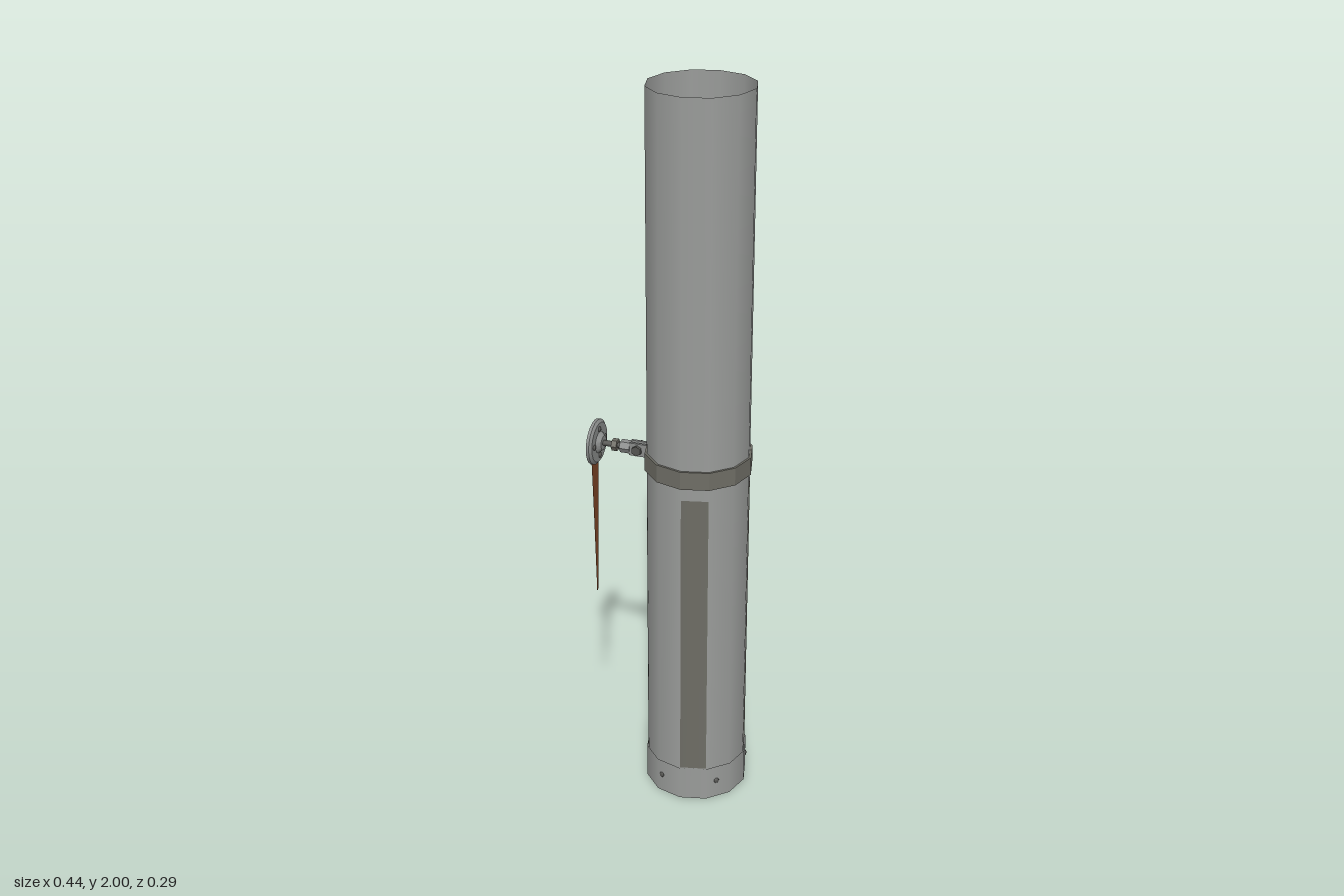
import * as THREE from 'three';
import { toCreasedNormals } from 'three/addons/utils/BufferGeometryUtils.js';

function material(name, color, extra = {}) {
  const m = new THREE.MeshStandardMaterial({ color, ...extra });
  m.name = name;
  return m;
}

export function createModel() {
  const model = new THREE.Group();
  model.name = 'wallMountedPipe';

  const galvanised = material('galvanised grey', 0x9a9c9a, { side: THREE.DoubleSide });
  const band = material('band grey', 0x6e6d65, { side: THREE.DoubleSide });
  const steel = material('steel grey', 0x8b8d8c);
  const bright = material('bright steel', 0xbcbfbf);
  const dark = material('dark steel', 0x555552);
  const rust = material('rust brown', 0x7c4526, { side: THREE.DoubleSide });

  function add(name, geometry, mat, parent, x = 0, y = 0, z = 0) {
    const mesh = new THREE.Mesh(geometry, mat);
    mesh.name = name;
    mesh.position.set(x, y, z);
    parent.add(mesh);
    return mesh;
  }
  // Turned solid from [radius, height] pairs with crisp edges
  function turned(profile, sides, crease = 0.4) {
    const points = profile.map(([r, h]) => new THREE.Vector2(r, h));
    return toCreasedNormals(new THREE.LatheGeometry(points, sides), crease);
  }
  // Open tube between two heights
  function tube(radius, y0, y1) {
    return new THREE.CylinderGeometry(radius, radius, y1 - y0, 12, 1, true).translate(0, (y0 + y1) / 2, 0);
  }

  // Pipe, bottom sleeve and clamp band, all twelve-sided
  const column = new THREE.Group();
  column.name = 'column';
  column.position.x = 0.075;
  model.add(column);
  add('pipe', tube(0.139, 0.08, 2), galvanised, column);
  add('bottomSleeve', tube(0.143, 0, 0.1), galvanised, column);
  add('clampBand', turned([[0.139, 0.975], [0.145, 0.975], [0.145, 1.025], [0.139, 1.025], [0.139, 0.975]], 12), band, column);

  // Four dark strips, each lying on one flat of the pipe
  for (let i = 0; i < 4; i++) {
    const strip = new THREE.CylinderGeometry(0.1397, 0.1397, 0.84, 1, 1, true, i * Math.PI / 2, Math.PI / 6);
    add('strip', strip, band, column, 0, 0.52, 0);
  }

  // Sleeve rivets
  for (const degrees of [115, 47, -23, -106, 172]) {
    const a = THREE.MathUtils.degToRad(degrees);
    // Distance to the sleeve's flat at this angle
    const offset = THREE.MathUtils.euclideanModulo(a, Math.PI / 6) - Math.PI / 12;
    const r = 0.143 * Math.cos(Math.PI / 12) / Math.cos(offset);
    const rivet = add('rivet', new THREE.SphereGeometry(0.008, 8, 6), dark, column, r * Math.cos(a), 0.053, r * Math.sin(a));
    rivet.rotation.y = -a;
    rivet.scale.x = 0.55;
  }

  // Wall bracket, running along x at clamp height
  const bracket = new THREE.Group();
  bracket.name = 'wallBracket';
  bracket.position.y = 1;
  model.add(bracket);
  function alongX(name, geometry, mat, x) {
    const mesh = add(name, geometry, mat, bracket, x);
    mesh.rotation.z = -Math.PI / 2;
    return mesh;
  }
  alongX('wallPlate', turned([[0, 0], [0.063, 0], [0.063, 0.008], [0.055, 0.014], [0, 0.014]], 24), steel, -0.222);
  alongX('plateHub', turned([[0.031, 0], [0.02, 0.013], [0, 0.013]], 16), steel, -0.209);
  alongX('threadedRod', new THREE.CylinderGeometry(0.008, 0.008, 0.07, 12), dark, -0.167);
  alongX('lockNut', turned([[0, -0.0075], [0.017, -0.0075], [0.017, 0.0075], [0, 0.0075]], 6), band, -0.162);
  alongX('coupling', turned([[0, -0.014], [0.018, -0.014], [0.018, 0.014], [0, 0.014]], 6), steel, -0.131);
  add('tang', new THREE.BoxGeometry(0.055, 0.024, 0.01), bright, bracket, -0.092);

  // Plate screws
  for (let i = 0; i < 4; i++) {
    const a = i * Math.PI / 2;
    const screw = add('plateScrew', new THREE.SphereGeometry(0.008, 10, 6), dark, bracket, -0.208, 0.038 * Math.sin(a), 0.038 * Math.cos(a));
    screw.scale.x = 0.6;
  }

  // Clamp ears on either side of the tang
  for (const side of [-1, 1]) {
    add('clampEar', new THREE.BoxGeometry(0.053, 0.036, 0.007), steel, bracket, -0.0915, 0, side * 0.0095);
  }

  // Cross bolt with head and nut
  function alongZ(name, radius, z0, z1, sides) {
    const g = turned([[0, z0], [radius, z0], [radius, z1], [0, z1]], sides);
    add(name, g, dark, bracket, -0.095).rotation.x = Math.PI / 2;
  }
  alongZ('boltShaft', 0.007, -0.033, 0.015, 12);
  alongZ('boltNut', 0.014, -0.024, -0.013, 6);
  alongZ('boltHead', 0.014, 0.013, 0.022, 6);

  // Rust streak running down the wall below the plate
  const streak = new THREE.Shape();
  streak.moveTo(-0.026, 0.97);
  [[-0.021, 0.88], [-0.018, 0.78], [-0.012, 0.66], [-0.004, 0.54], [0.004, 0.535],
    [0.009, 0.65], [0.014, 0.76], [0.02, 0.87], [0.026, 0.97]].forEach(([z, y]) => streak.lineTo(z, y));
  add('rustStreak', new THREE.ShapeGeometry(streak), rust, model, -0.2222).rotation.y = -Math.PI / 2;

  return model;
}
